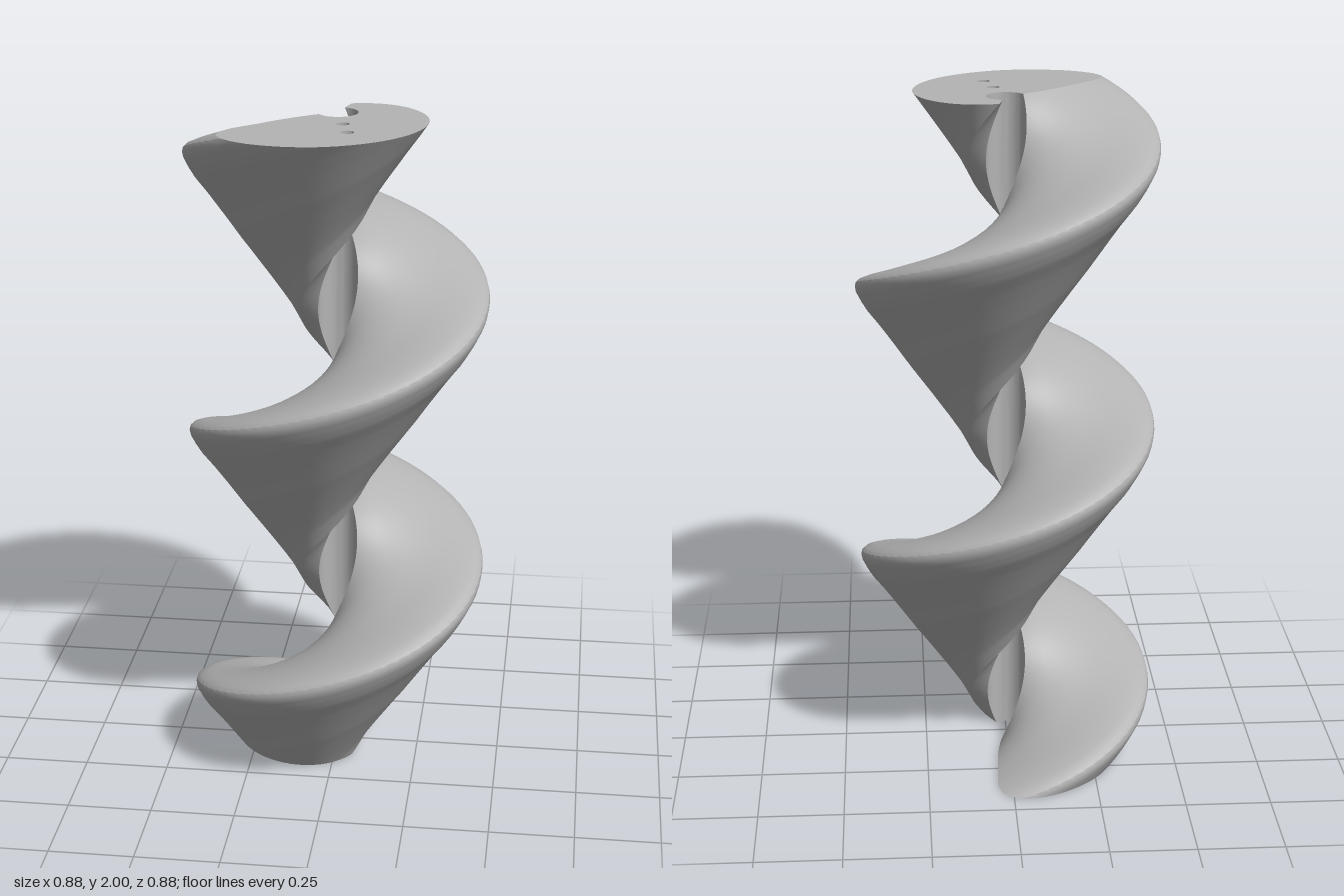
import * as THREE from 'three';
import { toCreasedNormals } from 'three/addons/utils/BufferGeometryUtils.js';

const HEIGHT = 2, PITCH = 0.84, TURN = Math.PI * 2;
const TOTAL_TWIST = TURN * HEIGHT / PITCH;

// Flight profile: radius and height above the rim line
const PROFILE = [
  [0.058, -0.49], [0.113, -0.49], [0.144, -0.44], [0.212, -0.354], [0.277, -0.27],
  [0.336, -0.187], [0.37, -0.14], [0.405, -0.095], [0.422, -0.067], [0.437, -0.037],
  [0.44, -0.02], [0.437, -0.008], [0.425, 0.003], [0.4, 0.011], [0.35, 0.017],
  [0.256, 0.02], [0.15, 0.029], [0.058, 0.038],
];
const HOLES = [[0.03, 0.137], [0.053, 0.231]];
const HOLE_RADIUS = 0.018, HOLE_DEPTH = 0.1;

// Horizontal section of the helical flight at the top
function sectionShape() {
  const angle = (o) => THREE.MathUtils.degToRad(132.9) + TURN * o / PITCH;
  const points = [];
  PROFILE.forEach(([r0, o0], i) => {
    const [r1, o1] = PROFILE[(i + 1) % PROFILE.length];
    const n = Math.ceil(Math.max(Math.abs(o1 - o0) / 0.012, Math.abs(r1 - r0) / 0.04));
    for (let k = 0; k < n; k++) {
      const r = r0 + (r1 - r0) * k / n, a = angle(o0 + (o1 - o0) * k / n);
      points.push(new THREE.Vector2(r * Math.cos(a), -r * Math.sin(a)));
    }
  });
  return new THREE.Shape(points);
}

// Side surfaces: the section extruded upward and twisted
function flightGeometry(shape) {
  const solid = new THREE.ExtrudeGeometry(shape, { depth: HEIGHT, steps: 170, bevelEnabled: false });
  solid.rotateX(-Math.PI / 2);
  const { start, count } = solid.groups[1];
  const walls = new THREE.BufferGeometry();
  const array = solid.attributes.position.array.slice(start * 3, (start + count) * 3);
  const pos = new THREE.BufferAttribute(array, 3);
  const v = new THREE.Vector3(), up = new THREE.Vector3(0, 1, 0);
  for (let i = 0; i < pos.count; i++) {
    v.fromBufferAttribute(pos, i);
    v.applyAxisAngle(up, -TURN * (HEIGHT - v.y) / PITCH);
    pos.setXYZ(i, v.x, v.y, v.z);
  }
  walls.setAttribute('position', pos);
  return toCreasedNormals(walls, 0.6);
}

export function createModel() {
  const grey = new THREE.MeshStandardMaterial({ color: 0xb4b4b4, side: THREE.DoubleSide });
  grey.name = 'grey';
  const model = new THREE.Group();
  model.name = 'helicalScrew';
  const add = (parent, name, geometry) => {
    const mesh = new THREE.Mesh(geometry, grey);
    mesh.name = name;
    parent.add(mesh);
    return mesh;
  };

  const shape = sectionShape();
  add(model, 'helicalFlight', flightGeometry(shape));

  // Flat ends with two blind pin holes each
  const capShape = shape.clone();
  for (const [x, z] of HOLES) {
    capShape.holes.push(new THREE.Path().absarc(x, -z, HOLE_RADIUS, 0, TURN, true));
  }
  const holeGeometry = toCreasedNormals(new THREE.LatheGeometry([
    new THREE.Vector2(0, -HOLE_DEPTH),
    new THREE.Vector2(HOLE_RADIUS, -HOLE_DEPTH),
    new THREE.Vector2(HOLE_RADIUS, 0),
  ], 24), 0.6);

  for (const top of [true, false]) {
    const end = new THREE.Group();
    end.name = top ? 'topEnd' : 'bottomEnd';
    end.position.y = top ? HEIGHT : 0;
    end.rotation.y = top ? 0 : -TOTAL_TWIST;
    add(end, 'endFace', new THREE.ShapeGeometry(capShape, 16).rotateX(-Math.PI / 2));
    for (const [x, z] of HOLES) {
      const hole = add(end, 'pinHole', holeGeometry);
      hole.position.set(x, 0, z);
      if (!top) hole.rotation.x = Math.PI;
    }
    model.add(end);
  }
  return model;
}
